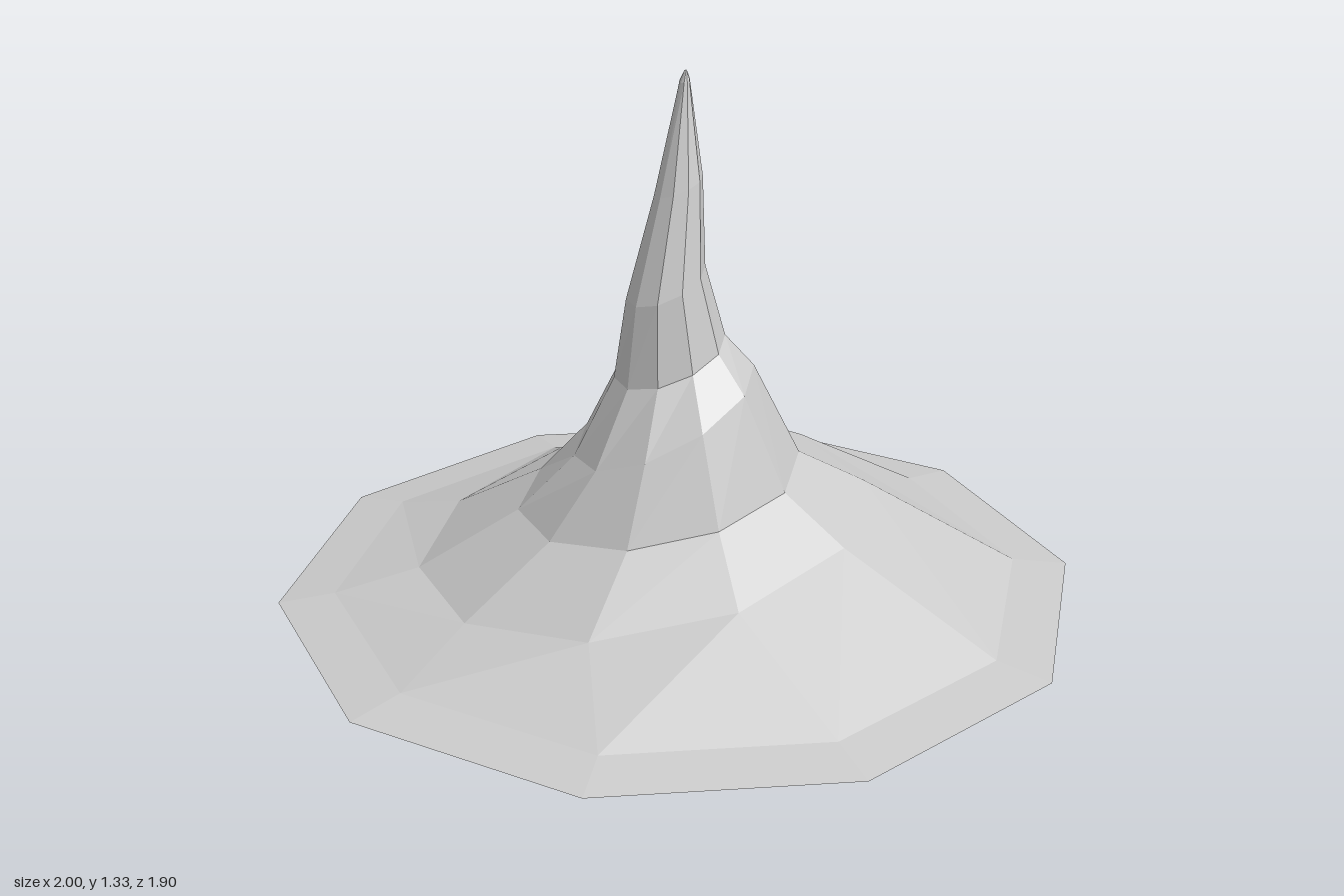
import * as THREE from 'three';

const SIDES = 10;

// Tilted rings from the brim to the peak:
// centre x, z; radius x, z; height at the axis; slope of the height along x and z
const RINGS = [
  [0, 0, 1, 1, 0, 0, 0],
  [0, 0, 0.86, 0.86, 0.02, 0, 0],
  [-0.09, -0.03, 0.56, 0.57, 0.172, 0.165, 0],
  [-0.05, 0, 0.35, 0.355, 0.297, 0.177, 0],
  [-0.04, 0.03, 0.22, 0.245, 0.51, 0.5, 0],
  [-0.025, 0.022, 0.135, 0.14, 0.64, 0.37, -0.1],
  [-0.035, 0.03, 0.095, 0.105, 0.84, 0.42, -0.1],
  [-0.002, 0.008, 0.058, 0.062, 1.055, 0.4, 0],
  [0.016, -0.025, 0.012, 0.026, 1.295, 0.4, 0],
  [0.019, -0.027, 0.004, 0.012, 1.32, 0, 0],
];

function ringPoints([cx, cz, rx, rz, y, slopeX, slopeZ]) {
  return Array.from({ length: SIDES }, (_, i) => {
    const a = (i / SIDES) * Math.PI * 2;
    const x = cx + rx * Math.cos(a);
    const z = cz + rz * Math.sin(a);
    return [x, y + slopeX * x + slopeZ * z, z];
  });
}

function facetedMesh(name, triangles, material) {
  const geometry = new THREE.BufferGeometry();
  geometry.setAttribute('position', new THREE.Float32BufferAttribute(triangles.flat(2), 3));
  geometry.computeVertexNormals();
  const mesh = new THREE.Mesh(geometry, material);
  mesh.name = name;
  return mesh;
}

// Side walls between successive rings
function loft(rings) {
  const triangles = [];
  for (let r = 0; r < rings.length - 1; r++) {
    const low = rings[r], up = rings[r + 1];
    for (let i = 0; i < SIDES; i++) {
      const j = (i + 1) % SIDES;
      triangles.push([low[i], up[i], low[j]], [up[i], up[j], low[j]]);
    }
  }
  return triangles;
}

// Fan that closes a ring, facing up or down
function cap(ring, centre, up) {
  return ring.map((p, i) => {
    const q = ring[(i + 1) % SIDES];
    return up ? [centre, q, p] : [centre, p, q];
  });
}

export function createModel() {
  const group = new THREE.Group();
  group.name = 'pointedHat';
  const material = new THREE.MeshStandardMaterial({ color: 0xcccccc, flatShading: true });
  const rings = RINGS.map(ringPoints);

  // Wide sloping brim
  group.add(facetedMesh('brim', loft(rings.slice(0, 4)), material));
  // Leaning crown with a small blunt tip
  const crown = loft(rings.slice(3));
  crown.push(...cap(rings.at(-1), [0.02, 1.325, -0.027], true));
  group.add(facetedMesh('crown', crown, material));
  // Flat underside
  group.add(facetedMesh('underside', cap(rings[0], [0, 0, 0], false), material));
  return group;
}
